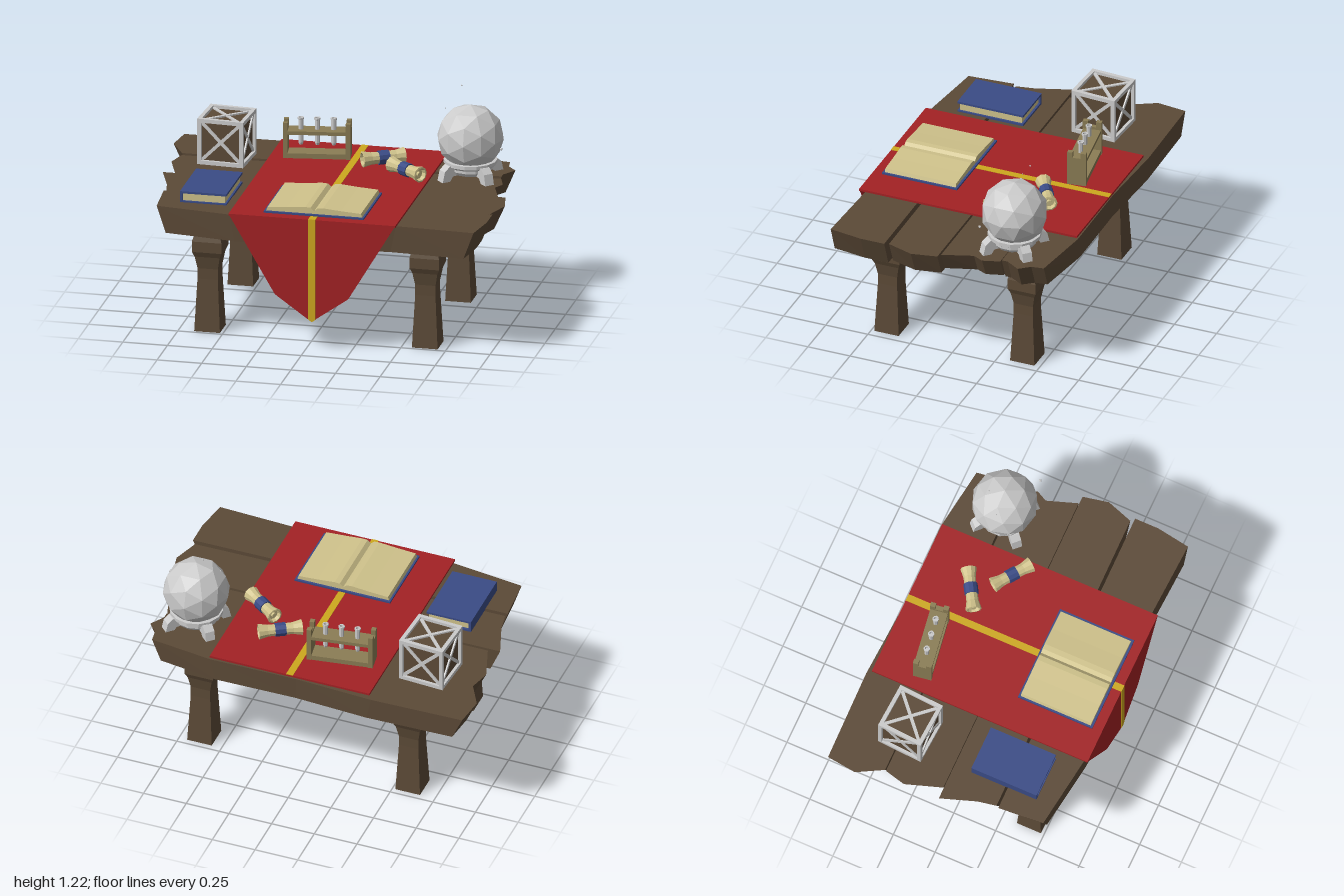
import * as THREE from 'three';

const mat = (name, color, side = THREE.FrontSide) =>
  new THREE.MeshStandardMaterial({ name, color, side, flatShading: true });

export function createModel() {
  const M = {
    wood: mat('dark wood', 0x5c4a37),
    red: mat('red cloth', 0xa32124),
    gold: mat('gold trim', 0xcda81e),
    blue: mat('blue leather', 0x3a4b86),
    paper: mat('parchment', 0xcfc28b, THREE.DoubleSide),
    rack: mat('pale wood', 0x8b7d55),
    grey: mat('pale grey', 0xcbcbcb),
  };
  const model = new THREE.Group();
  model.name = 'alchemyTable';

  const add = (parent, name, geo, material, x = 0, y = 0, z = 0) => {
    const mesh = new THREE.Mesh(geo, material);
    mesh.name = name;
    mesh.position.set(x, y, z);
    parent.add(mesh);
    return mesh;
  };
  const group = (name, x, y, z, turn = 0) => {
    const g = new THREE.Group();
    g.name = name;
    g.position.set(x, y, z);
    g.rotation.y = turn;
    model.add(g);
    return g;
  };
  const box = (w, h, d) => new THREE.BoxGeometry(w, h, d);
  const extrude = (pts, depth) => new THREE.ExtrudeGeometry(
    new THREE.Shape(pts.map(([x, y]) => new THREE.Vector2(x, y))), { depth, bevelEnabled: false });

  // Rough planks: outlines in x,z with ends undercut toward the bottom
  const planks = [
    { lo: 0.605, hi: 0.735, pts: [[-0.98, -0.65], [-0.45, -0.66], [0, -0.635], [0.5, -0.64], [0.86, -0.59],
      [0.87, -0.52], [0.92, -0.46], [0.87, -0.38], [0.87, -0.345], [-0.92, -0.335], [-1, -0.48]] },
    { lo: 0.61, hi: 0.725, pts: [[-0.92, -0.33], [0.87, -0.335], [0.9, -0.24], [0.87, -0.18], [0.93, -0.01],
      [-0.88, -0.005], [-0.95, -0.21]] },
    { lo: 0.6, hi: 0.735, pts: [[-0.95, 0], [0.97, -0.005], [1, 0.14], [0.95, 0.29], [-0.86, 0.305], [-0.88, 0.2]] },
    { lo: 0.59, hi: 0.742, pts: [[-0.87, 0.32], [0.97, 0.31], [0.97, 0.45], [0.94, 0.64], [0.5, 0.62],
      [0, 0.65], [-0.43, 0.635], [-0.85, 0.58]] },
  ];
  for (const { lo, hi, pts } of planks) {
    const geo = extrude(pts.map(([x, z]) => [x, -z]), hi - lo).rotateX(-Math.PI / 2);
    const p = geo.attributes.position;
    for (let i = 0; i < p.count; i++) if (p.getY(i) < 0.01) p.setX(i, p.getX(i) * 0.94);
    geo.computeVertexNormals();
    add(model, 'tablePlank', geo, M.wood, 0, lo, 0);
  }

  // Carved square legs
  const legProfile = [[0, 0], [0.072, 0], [0.057, 0.3], [0.057, 0.36], [0.07, 0.43], [0.083, 0.46],
    [0.083, 0.52], [0.074, 0.55], [0.1, 0.64]];
  const legGeo = new THREE.LatheGeometry(
    legProfile.map(([r, y]) => new THREE.Vector2(r * Math.SQRT2, y)), 4).rotateY(Math.PI / 4);
  for (const x of [-0.59, 0.63]) for (const z of [-0.395, 0.41]) add(model, 'tableLeg', legGeo, M.wood, x, 0, z);

  // Runner cloth with a pointed hanging end and gold stripe
  add(model, 'clothTop', box(0.935, 0.012, 1.29), M.red, 0.037, 0.748, 0.01);
  add(model, 'clothDrape', extrude([[-0.43, 0.754], [-0.17, 0.31], [0.035, 0.165], [0.24, 0.31], [0.505, 0.754]], 0.006),
    M.red, 0, 0, 0.65);
  add(model, 'stripeTop', box(0.04, 0.004, 1.292), M.gold, 0.037, 0.7545, 0.011);
  add(model, 'stripeDrape', extrude([[0.017, 0.756], [0.017, 0.178], [0.037, 0.164], [0.057, 0.178], [0.057, 0.756]], 0.009),
    M.gold, 0, 0, 0.6485);

  // Open book: flat cover and two swelling page blocks
  const open = group('openBook', 0.035, 0.756, 0.378);
  add(open, 'openCover', box(0.56, 0.01, 0.445), M.blue, 0, 0.005, 0);
  for (const s of [-1, 1]) {
    const page = [[0, 0.008], [s * 0.27, 0.008], [s * 0.262, 0.03], [s * 0.15, 0.037], [s * 0.05, 0.046], [s * 0.02, 0.044], [0, 0.026]];
    add(open, 'pageBlock', extrude(page, 0.42), M.paper, 0, 0, -0.21);
  }

  // Closed book
  const book = group('closedBook', -0.61, 0.738, 0.295);
  for (const y of [0.006, 0.061]) add(book, 'bookCover', box(0.26, 0.012, 0.39), M.blue, 0, y, 0);
  add(book, 'bookSpine', box(0.014, 0.066, 0.39), M.blue, -0.123, 0.033, 0);
  add(book, 'bookPages', box(0.235, 0.044, 0.365), M.paper, 0.002, 0.033, 0);

  // Crate: panelled cube with edge bars and crossed braces on every face
  const crate = group('crate', -0.66, 0.865, -0.3, -0.06);
  const S = 0.262, B = 0.022, E = (S - B) / 2;
  add(crate, 'cratePanel', box(S - 0.034, S - 0.034, S - 0.034), M.wood);
  for (const a of [-E, E]) for (const b of [-E, E]) {
    add(crate, 'crateEdge', box(S, B, B), M.grey, 0, a, b);
    add(crate, 'crateEdge', box(B, S, B), M.grey, a, 0, b);
    add(crate, 'crateEdge', box(B, B, S), M.grey, a, b, 0);
  }
  const turns = [[0, 0], [0, 1], [0, 2], [0, 3], [1, 0], [-1, 0]];
  for (const [rx, ry] of turns) {
    const face = new THREE.Group();
    face.name = 'crateBraces';
    face.rotation.set(rx * Math.PI / 2, ry * Math.PI / 2, 0);
    for (const s of [-1, 1]) {
      add(face, 'crateBrace', box(0.31, 0.018, 0.012), M.grey, 0, 0, E - 0.004 + s * 0.0008).rotation.z = s * Math.PI / 4;
    }
    crate.add(face);
  }

  // Test tube rack
  const rack = group('tubeRack', -0.175, 0.756, -0.395, 0.15);
  for (const s of [-1, 1]) {
    add(rack, 'rackEnd', box(0.026, 0.17, 0.105), M.rack, s * 0.172, 0.085, 0);
    for (const t of [-1, 1]) add(rack, 'rackHorn', box(0.026, 0.035, 0.03), M.rack, s * 0.172, 0.185, t * 0.0375);
  }
  add(rack, 'rackBase', box(0.33, 0.028, 0.1), M.rack, 0, 0.014, 0);
  add(rack, 'rackShelf', box(0.33, 0.02, 0.1), M.rack, 0, 0.145, 0);
  const tubeProfile = [[0, 0], [0.01, 0.004], [0.014, 0.016], [0.014, 0.148], [0.018, 0.15], [0.018, 0.16], [0.011, 0.16], [0.01, 0.14], [0, 0.14]];
  const tubeGeo = new THREE.LatheGeometry(tubeProfile.map(([r, y]) => new THREE.Vector2(r, y)), 8);
  for (const x of [-0.09, 0, 0.09]) add(rack, 'testTube', tubeGeo, M.grey, x, 0.062, 0);

  // Rolled scrolls with flared hollow ends and a blue band
  const half = [[0.033, 0.03], [0.034, 0.07], [0.045, 0.12], [0.036, 0.122], [0.03, 0.1], [0, 0.1]];
  const scrollPts = [...half.map(([r, y]) => [r, -y]).reverse(), ...half].map(([r, y]) => new THREE.Vector2(r, y));
  const scrollGeo = new THREE.LatheGeometry(scrollPts, 10).rotateZ(Math.PI / 2);
  const bandGeo = new THREE.CylinderGeometry(0.039, 0.039, 0.06, 10).rotateZ(Math.PI / 2);
  const coreGeo = new THREE.CylinderGeometry(0.014, 0.014, 0.23, 8).rotateZ(Math.PI / 2);
  for (const [x, z, turn] of [[0.21, -0.33, 0.54], [0.377, -0.16, -0.63]]) {
    const scroll = group('scroll', x, 0.8, z, turn);
    add(scroll, 'scrollRoll', scrollGeo, M.paper);
    add(scroll, 'scrollCore', coreGeo, M.paper);
    add(scroll, 'scrollBand', bandGeo, M.blue);
  }

  // Faceted orb on a collar with four splayed feet
  const orb = group('orbStand', 0.695, 0, -0.347);
  add(orb, 'orb', new THREE.IcosahedronGeometry(0.186, 1), M.grey, 0, 0.95, 0);
  const collar = [[0, 0.755], [0.11, 0.755], [0.125, 0.775], [0.125, 0.79], [0.148, 0.805], [0.148, 0.825], [0.12, 0.828]];
  add(orb, 'orbCollar', new THREE.LatheGeometry(collar.map(([r, y]) => new THREE.Vector2(r, y)), 14), M.grey);
  const foot = [[0.09, 0.755], [0.13, 0.752], [0.165, 0.7], [0.2, 0.71], [0.182, 0.785], [0.15, 0.812], [0.09, 0.81]];
  const footGeo = extrude(foot, 0.055).translate(0, 0, -0.0275);
  for (let i = 0; i < 4; i++) add(orb, 'orbFoot', footGeo, M.grey).rotation.y = Math.PI / 4 + i * Math.PI / 2;

  // Floating sparks around the orb
  for (const [x, y, z, s] of [[0.63, 1.22, -0.412, 0.01], [0.557, 1.11, -0.335, 0.008], [0.895, 0.935, -0.225, 0.017]]) {
    add(model, 'spark', new THREE.IcosahedronGeometry(s / 2, 0), M.grey, x, y, z);
  }
  return model;
}
